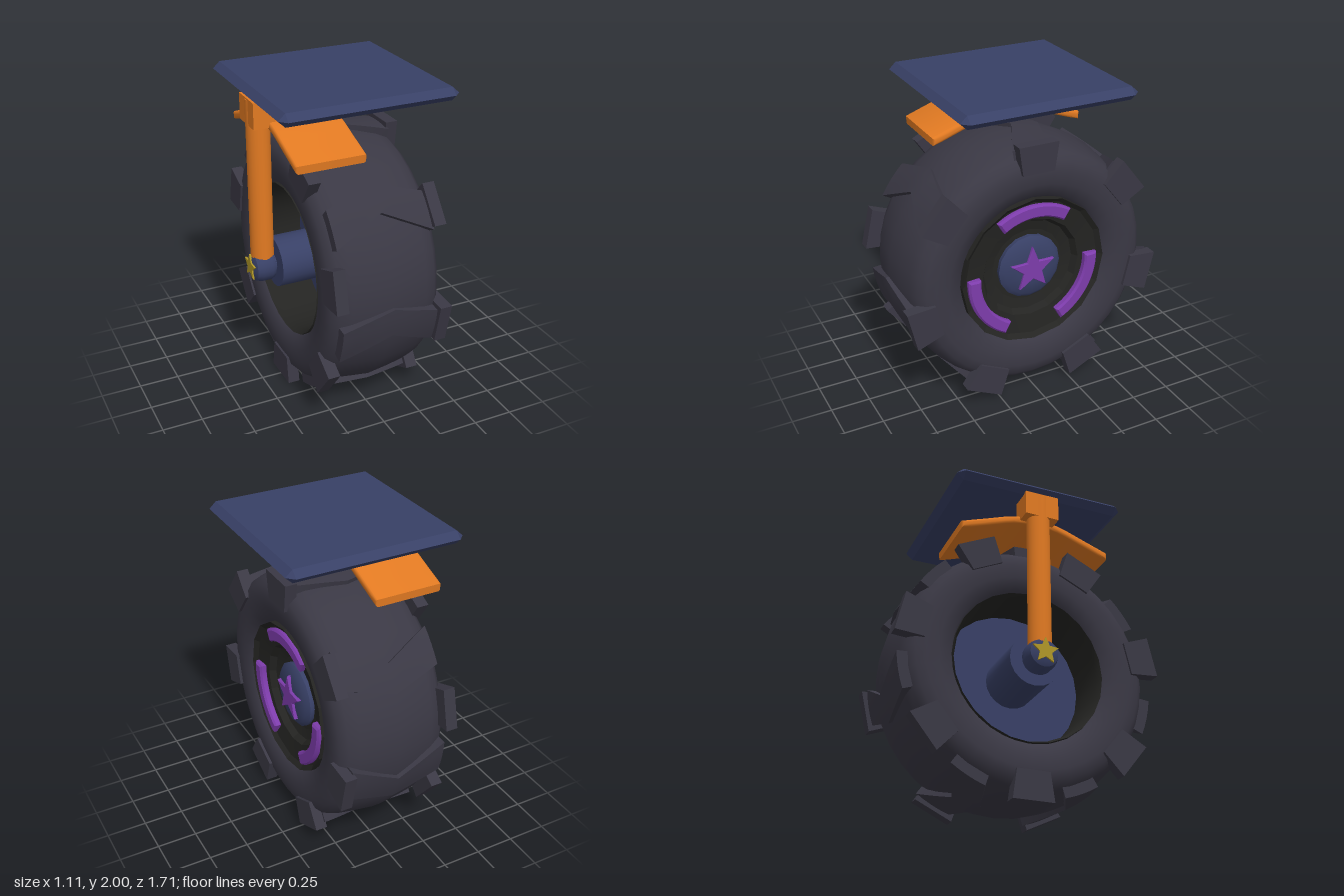
import * as THREE from 'three';
import { toCreasedNormals } from 'three/addons/utils/BufferGeometryUtils.js';
import { ConvexGeometry } from 'three/addons/geometries/ConvexGeometry.js';

const mat = (name, color) => {
  const m = new THREE.MeshStandardMaterial({ color });
  m.name = name;
  return m;
};
const V2 = (x, y) => new THREE.Vector2(x, y);

export function createModel() {
  const rubber = mat('rubber', 0x3a3844);
  const navy = mat('navy', 0x384066);
  const orange = mat('orange', 0xe27a22);
  const purple = mat('purple', 0x7d3cab);
  const gold = mat('gold', 0xb09628);
  const black = mat('black', 0x242422);

  const model = new THREE.Group();
  const wheel = new THREE.Group();
  wheel.name = 'wheel';
  wheel.position.y = 0.845;
  model.add(wheel);

  const add = (parent, name, geo, material, x = 0, y = 0, z = 0) => {
    const m = new THREE.Mesh(geo, material);
    m.name = name;
    m.position.set(x, y, z);
    parent.add(m);
    return m;
  };
  // Turned part around the x axis; points are [radius, x]
  const turned = (pts, segments, crease = 0.6) => {
    const g = new THREE.LatheGeometry(pts.map(p => V2(p[0], p[1])), segments);
    g.rotateZ(-Math.PI / 2);
    return toCreasedNormals(g, crease);
  };
  // Outline extruded along +x (side = 1) or -x (side = -1)
  const sideways = (shape, depth, bevel, side = 1, bevelSegments = 1) => {
    const g = new THREE.ExtrudeGeometry(shape, {
      depth, curveSegments: 10, bevelEnabled: bevel > 0,
      bevelSize: bevel, bevelThickness: bevel, bevelSegments,
    });
    g.rotateY(side * Math.PI / 2);
    return toCreasedNormals(g, 0.6);
  };
  const star = (outer, inner) => {
    const pts = [];
    for (let i = 0; i < 10; i++) {
      const a = Math.PI / 2 + i * Math.PI / 5, r = i % 2 ? inner : outer;
      pts.push(V2(r * Math.cos(a), r * Math.sin(a)));
    }
    return new THREE.Shape(pts);
  };

  // Tyre carcass, mirrored half profile
  const half = [[0.47, 0.28], [0.5, 0.325], [0.58, 0.352], [0.66, 0.358],
    [0.72, 0.345], [0.762, 0.305], [0.785, 0.24], [0.802, 0.13]];
  const profile = [...half.map(([r, x]) => [r, -x]), [0.818, 0], ...half.slice().reverse()];
  add(wheel, 'tyre', turned(profile, 36, 0.7), rubber);

  // Chevron tread bar: a box bent over the tyre crown
  const chevronGeo = new THREE.BoxGeometry(0.62, 1, 2, 8, 1, 4);
  const p = chevronGeo.attributes.position;
  for (let i = 0; i < p.count; i++) {
    const x = p.getX(i), k = Math.abs(x) / 0.31;
    const r = p.getY(i) > 0 ? 0.842 - 0.022 * k : 0.74;
    const a = -0.12 + 0.15 * k + p.getZ(i) * (0.108 + 0.035 * k);
    p.setXYZ(i, x, r * Math.cos(a), r * Math.sin(a));
  }
  const chevron = toCreasedNormals(chevronGeo, 0.3);
  // Shoulder lug, narrower toward the axle
  const lug = new THREE.BoxGeometry(0.075, 0.18, 0.26);
  const lp = lug.attributes.position;
  for (let i = 0; i < lp.count; i++) if (lp.getY(i) < 0) lp.setZ(i, lp.getZ(i) * 0.8);
  lug.computeVertexNormals();

  for (let i = 0; i < 7; i++) {
    const step = Math.PI * 2 / 7;
    const bar = new THREE.Group();
    bar.name = 'treadBar';
    bar.rotation.x = i * step;
    add(bar, 'chevron', chevron, rubber);
    add(bar, 'leftLug', lug, rubber, 0.3375, 0.755, 0);
    wheel.add(bar);
    const other = new THREE.Group();
    other.name = 'rightTread';
    other.rotation.x = (i + 0.5) * step;
    add(other, 'rightLug', lug, rubber, -0.3325, 0.755, 0);
    wheel.add(other);
  }

  // Rim face, inner barrel and back plate
  add(wheel, 'rimFace', turned([[0.485, 0.28], [0.485, 0.335], [0.455, 0.31], [0.33, 0.29],
    [0.305, 0.25], [0.24, 0.235], [0, 0.235]], 16, 0.2), black);
  add(wheel, 'rimBarrel', turned([[0.46, -0.02], [0.465, -0.28], [0.485, -0.325],
    [0.49, -0.28]], 24), black);
  add(wheel, 'backPlate', turned([[0, -0.02], [0.47, -0.02]], 24), navy);

  // Hub cap with star
  add(wheel, 'hubCap', turned([[0.205, 0.22], [0.21, 0.265], [0.18, 0.29], [0.1, 0.302],
    [0, 0.305]], 16), navy);
  add(wheel, 'hubStar', sideways(star(0.145, 0.06), 0.02, 0.005), purple, 0.295);

  // Three raised arcs on the rim
  for (let i = 0; i < 3; i++) {
    const mid = Math.PI / 2 + i * Math.PI * 2 / 3, w = 0.56;
    const s = new THREE.Shape();
    s.absarc(0, 0, 0.43, mid - w, mid + w, false);
    s.absarc(0, 0, 0.37, mid + w, mid - w, true);
    add(wheel, 'rimArc', sideways(s, 0.03, 0.012), purple, 0.298);
  }

  // Axle, its rounded end and the small star
  add(wheel, 'axle', turned([[0.16, -0.02], [0.16, -0.4], [0, -0.4]].reverse(), 20), navy);
  add(wheel, 'axleEnd', turned([[0, -0.55], [0.06, -0.55], [0.088, -0.535], [0.1, -0.5],
    [0.1, -0.44], [0.088, -0.415], [0.06, -0.405], [0.06, -0.38]], 20), navy, 0, -0.007, 0);
  add(wheel, 'axleStar', sideways(star(0.085, 0.04), 0.012, 0, -1), gold, -0.547);

  // Upright post and bracket
  add(model, 'post', new THREE.CylinderGeometry(0.072, 0.072, 1.04, 20), orange, -0.473, 1.4, 0);
  add(model, 'bracket', new THREE.BoxGeometry(0.15, 0.16, 0.22), orange, -0.465, 1.85, 0);

  // Curved mudguard
  const curve = new THREE.SplineCurve([[-0.475, 1.655], [-0.32, 1.71], [-0.15, 1.768],
    [0, 1.785], [0.15, 1.768], [0.32, 1.71], [0.475, 1.655]].map(a => V2(...a)));
  const line = curve.getPoints(18);
  const guard = new THREE.Shape([
    ...line.map(q => V2(q.x, q.y - 0.008)),
    ...line.slice().reverse().map(q => V2(q.x, q.y + 0.008))]);
  add(model, 'mudguard', sideways(guard, 0.4, 0.018, 1, 3), orange, -0.43);

  // Square top plate with chamfered edges
  const corners = [], a = 0.512, b = 0.555;
  for (const sx of [-1, 1]) for (const sz of [-1, 1]) {
    corners.push(
      new THREE.Vector3(sx * a, 0.04, sz * a), new THREE.Vector3(sx * a, -0.04, sz * a),
      new THREE.Vector3(sx * b, 0, sz * a), new THREE.Vector3(sx * a, 0, sz * b));
  }
  add(model, 'topPlate', new ConvexGeometry(corners), navy, 0, 1.96, 0);

  return model;
}
